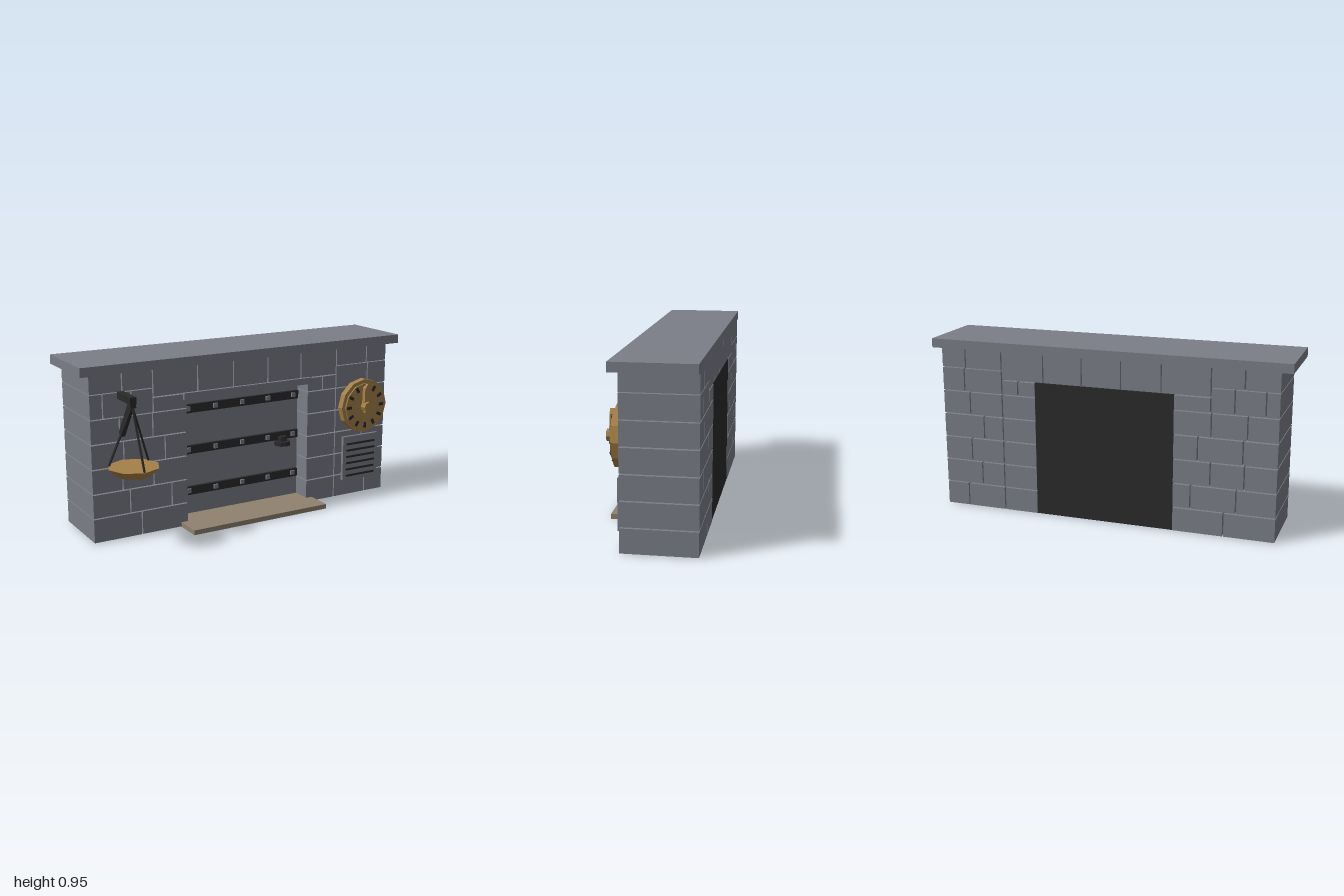
import * as THREE from 'three';

const mat = (name, color, open = false) => {
  const m = new THREE.MeshStandardMaterial({ color });
  m.name = name;
  m.flatShading = true;
  if (open) m.side = THREE.DoubleSide;
  return m;
};

export function createModel() {
  const stone = mat('grey stone', 0x7b7e87, true);
  const iron = mat('dark iron', 0x2b2b2b);
  const brass = mat('brass', 0xa58048);
  const sand = mat('sandstone', 0x8f816e, true);

  const root = new THREE.Group();
  const group = (name, x = 0, y = 0, z = 0) => {
    const g = new THREE.Group();
    g.name = name;
    g.position.set(x, y, z);
    root.add(g);
    return g;
  };
  const add = (parent, name, geo, material, x = 0, y = 0, z = 0) => {
    const m = new THREE.Mesh(geo, material);
    m.name = name;
    m.position.set(x, y, z);
    parent.add(m);
    return m;
  };
  // Box given by its limits; hollow boxes have no underside
  const block = (parent, name, material, x0, x1, y0, y1, z0, z1, hollow = false) => {
    const geo = new THREE.BoxGeometry(x1 - x0, y1 - y0, z1 - z0);
    if (hollow) {
      const idx = Array.from(geo.index.array);
      idx.splice(18, 6);
      geo.setIndex(idx);
    }
    return add(parent, name, geo, material, (x0 + x1) / 2, (y0 + y1) / 2, (z0 + z1) / 2);
  };
  // Straight bar between two points
  const bar = (parent, name, material, a, b, w, d = w) => {
    const dir = b.clone().sub(a);
    const m = add(parent, name, new THREE.BoxGeometry(w, dir.length(), d), material);
    m.position.copy(a).add(b).multiplyScalar(0.5);
    m.quaternion.setFromUnitVectors(new THREE.Vector3(0, 1, 0), dir.normalize());
    return m;
  };

  // Stone courses with narrow open joints
  const wall = group('stoneWall');
  const gap = 0.0035, back = -0.34, front = 0.05;
  const course = (xs, y0, y1, hollow) => {
    for (let i = 0; i < xs.length - 1; i++) {
      const l = i ? gap : 0, r = i < xs.length - 2 ? gap : 0;
      block(wall, 'stone', stone, xs[i] + l, xs[i + 1] - r, y0, y1, back, front, hollow);
    }
  };
  const rows = [
    [0.003, 0.131, [-0.94, -0.665, -0.39], [0.39, 0.585, 0.81, 0.94]],
    [0.138, 0.265, [-0.94, -0.73, -0.485, -0.39], [0.39, 0.585, 0.72, 0.94]],
    [0.272, 0.399, [-0.94, -0.77, -0.59, -0.39], [0.39, 0.585, 0.78, 0.94]],
    [0.406, 0.533, [-0.94, -0.76, -0.52, -0.39], [0.39, 0.585, 0.7, 0.94]],
    [0.54, 0.665, [-0.94, -0.78, -0.59, -0.39], [0.39, 0.585, 0.78, 0.94]],
    [0.671, 0.798, [-0.94, -0.87, -0.71, -0.5885], [0.5885, 0.81, 0.94]],
    [0.803, 0.905, [-0.94, -0.76, -0.5885], [0.5885, 0.8, 0.94]],
  ];
  rows.forEach(([y0, y1, left, right], i) => {
    course(left, y0, y1, i === 0);
    course(right, y0, y1, i === 0);
  });
  course([-0.5815, -0.39], 0.671, 0.747);
  course([0.39, 0.49, 0.5815], 0.671, 0.747);
  course([-0.5815, -0.32, -0.1, 0.12, 0.34, 0.5815], 0.754, 0.905);
  block(root, 'topSlab', stone, -1, 1, 0.905, 0.955, back, 0.09);

  // Opening: lintel trim, recessed panel, dark back and floor, hearth
  block(root, 'lintelTrim', stone, -0.41, 0.405, 0.718, 0.755, -0.06, 0.07);
  block(root, 'recessedPanel', stone, -0.39, 0.39, 0.027, 0.745, -0.18, -0.06);
  block(root, 'backPanel', iron, -0.39, 0.39, 0.003, 0.75, -0.338, -0.328);
  block(root, 'chamberFloor', iron, -0.39, 0.39, 0.003, 0.011, -0.328, -0.18);
  block(root, 'hearth', sand, -0.43, 0.43, 0, 0.027, -0.18, 0.2, true);

  // Iron straps with rivets
  const straps = group('ironStraps');
  for (const y of [0.165, 0.403, 0.637]) {
    block(straps, 'strap', iron, -0.39, 0.385, y - 0.024, y + 0.024, -0.06, -0.042);
    for (let i = 0; i < 5; i++) {
      add(straps, 'rivet', new THREE.BoxGeometry(0.025, 0.025, 0.012), stone, -0.337 + i * 0.171, y + 0.002, -0.037);
    }
  }

  // Handle below the middle strap
  const handle = group('handle', 0.27, 0.363, -0.03);
  add(handle, 'knob', new THREE.CylinderGeometry(0.048, 0.048, 0.024, 8), iron);
  add(handle, 'neck', new THREE.CylinderGeometry(0.025, 0.025, 0.03, 8), iron, 0, 0.025, 0);

  // Round dial
  const dial = group('dial', 0.765, 0.55, 0.05);
  const disc = (name, r, depth, sides, z) => {
    const geo = new THREE.CylinderGeometry(r, r, depth, sides).rotateX(Math.PI / 2);
    return add(dial, name, geo, brass, 0, 0, z);
  };
  disc('dialBody', 0.16, 0.04, 12, 0.02);
  disc('dialFace', 0.138, 0.01, 12, 0.044);
  disc('hub', 0.032, 0.045, 8, 0.068);
  for (let i = 0; i < 12; i++) {
    const a = (i * Math.PI) / 6;
    const tick = add(dial, 'hourMark', new THREE.BoxGeometry(0.017, 0.032, 0.006), iron,
      Math.sin(a) * 0.115, Math.cos(a) * 0.115, 0.051);
    tick.rotation.z = -a;
  }
  const hand = new THREE.Shape([[-0.014, -0.038], [0.014, -0.038], [0.022, 0.03], [0.02, 0.11], [0, 0.135], [-0.02, 0.11], [-0.022, 0.03]]
    .map(([x, y]) => new THREE.Vector2(x, y)));
  add(dial, 'hand', new THREE.ExtrudeGeometry(hand, { depth: 0.025, bevelEnabled: false }), brass, 0, 0, 0.049);

  // Vent plate with slots
  const vent = group('vent');
  block(vent, 'ventPlate', stone, 0.637, 0.888, 0.1, 0.367, 0.05, 0.068);
  for (let i = 0; i < 6; i++) {
    const y = 0.126 + i * 0.039;
    block(vent, 'slot', iron, 0.66, 0.865, y - 0.006, y + 0.006, 0.066, 0.073);
  }

  // Bracket with hanging pan
  const scale = group('hangingScale', -0.77, 0, 0);
  const v = (x, y, z) => new THREE.Vector3(x, y, z);
  block(scale, 'arm', iron, -0.018, 0.018, 0.767, 0.805, 0.05, 0.215);
  block(scale, 'hook', iron, -0.016, 0.016, 0.748, 0.767, 0.18, 0.214);
  bar(scale, 'brace', iron, v(0, 0.765, 0.19), v(0, 0.575, 0.055), 0.026, 0.03);
  for (let i = 0; i < 3; i++) {
    const a = (i * Math.PI * 2) / 3;
    bar(scale, 'chain', iron, v(0, 0.76, 0.2), v(Math.sin(a) * 0.128, 0.442, 0.2 + Math.cos(a) * 0.13), 0.009);
  }
  add(scale, 'pan', new THREE.CylinderGeometry(0.138, 0.09, 0.048, 8), brass, 0, 0.417, 0.197);

  return root;
}
